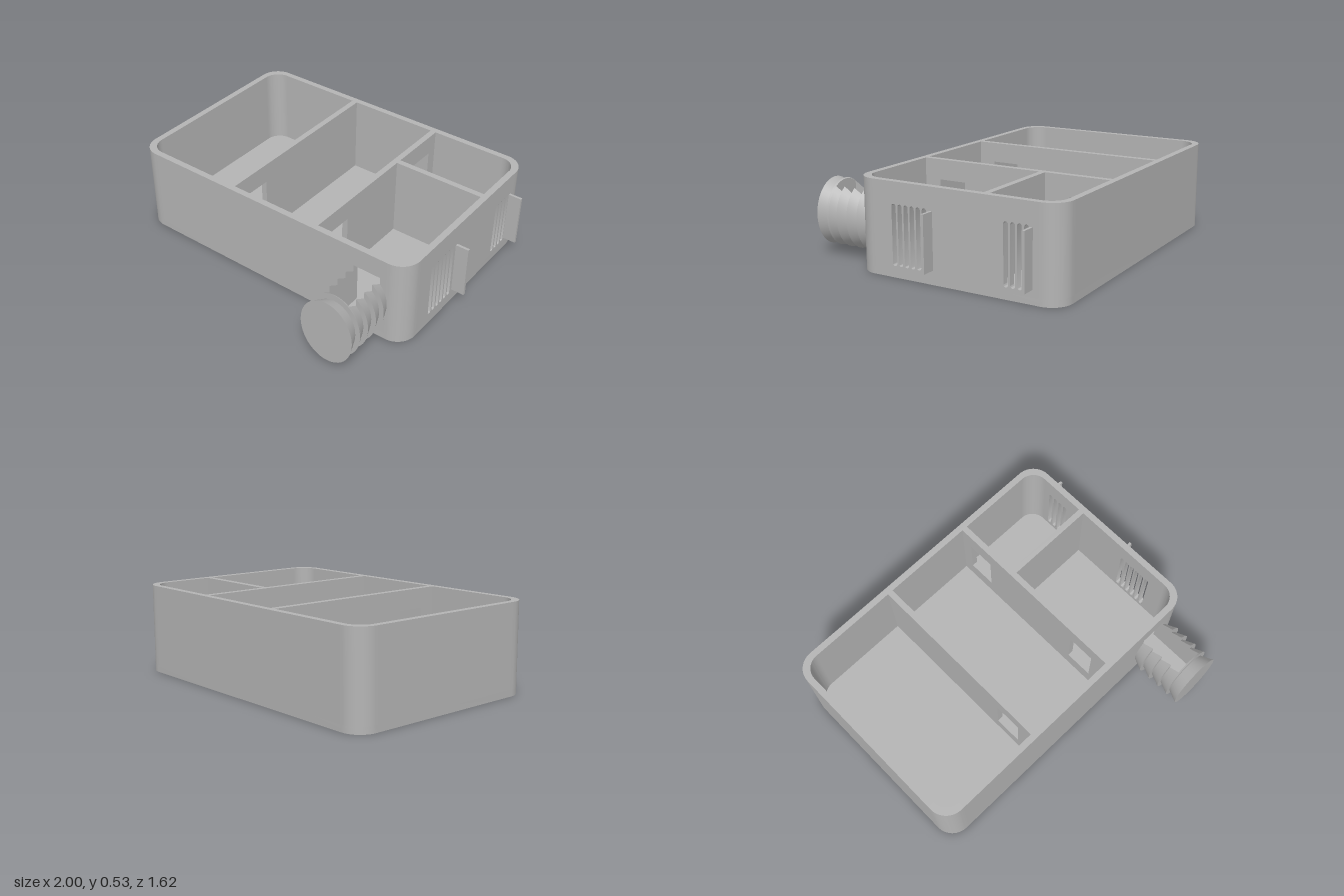
import * as THREE from 'three';
import { toCreasedNormals } from 'three/addons/utils/BufferGeometryUtils.js';

const X0 = -1, X1 = 0.92, Z0 = -0.81, Z1 = 0.455; // outer box
const FLOOR = 0.04, TOP = 0.53, WALL = 0.038;
const R = 0.12, C = 0.135; // outer corner radius, size of a corner piece
const T = 0.036; // divider thickness

const grey = new THREE.MeshStandardMaterial({ color: 0xb4b4b4 });
grey.name = 'grey plastic';

function extrude(shape, depth) {
  const geo = new THREE.ExtrudeGeometry(shape, { depth, bevelEnabled: false, curveSegments: 10 });
  return toCreasedNormals(geo, 0.6);
}

function rect(Type, x0, x1, y0, y1) {
  const s = new Type();
  s.moveTo(x0, y0);
  s.lineTo(x1, y0);
  s.lineTo(x1, y1);
  s.lineTo(x0, y1);
  s.closePath();
  return s;
}

// Upright slot with round ends
function slot(u, y0, y1, r) {
  const p = new THREE.Path();
  p.absarc(u, y1 - r, r, 0, Math.PI, false);
  p.absarc(u, y0 + r, r, Math.PI, Math.PI * 2, false);
  p.closePath();
  return p;
}

export function createModel() {
  const model = new THREE.Group();
  const add = (name, geo) => {
    const mesh = new THREE.Mesh(geo, grey);
    mesh.name = name;
    model.add(mesh);
    return mesh;
  };

  // Upright panel across x, starting at depth z
  function panelX(name, x0, x1, z, depth, holes = []) {
    const s = rect(THREE.Shape, x0, x1, FLOOR, TOP);
    s.holes.push(...holes);
    add(name, extrude(s, depth)).position.z = z;
  }
  // Upright panel along z, starting at x; holes are drawn at u = -z
  function panelZ(name, z0, z1, x, depth, holes = []) {
    const s = rect(THREE.Shape, -z1, -z0, FLOOR, TOP);
    s.holes.push(...holes);
    const mesh = add(name, extrude(s, depth));
    mesh.rotation.y = Math.PI / 2;
    mesh.position.x = x;
  }
  const hole = (u0, u1) => rect(THREE.Path, u0, u1, 0.15, 0.41);

  // Floor with rounded corners
  const f = new THREE.Shape();
  f.absarc(X1 - R, -Z0 - R, R, 0, Math.PI / 2);
  f.absarc(X0 + R, -Z0 - R, R, Math.PI / 2, Math.PI);
  f.absarc(X0 + R, -Z1 + R, R, Math.PI, Math.PI * 1.5);
  f.absarc(X1 - R, -Z1 + R, R, Math.PI * 1.5, Math.PI * 2);
  f.closePath();
  add('floor', extrude(f, FLOOR).rotateX(-Math.PI / 2));

  // Rounded wall corners
  const c = new THREE.Shape();
  c.moveTo(C, 0);
  c.lineTo(C, WALL);
  c.absarc(C, C, C - WALL, Math.PI * 1.5, Math.PI, true);
  c.lineTo(0, C);
  c.lineTo(0, R);
  c.absarc(R, R, R, Math.PI, Math.PI * 1.5, false);
  c.closePath();
  const cornerGeo = extrude(c, TOP - FLOOR).rotateX(-Math.PI / 2);
  [[X0, Z1], [X1, Z1], [X1, Z0], [X0, Z0]].forEach(([x, z], i) => {
    const m = add('wallCorner', cornerGeo);
    m.rotation.y = i * Math.PI / 2;
    m.position.set(x, FLOOR, z);
  });

  // Straight walls; vents in the left one, spout opening in the front one
  const vents = [];
  for (let i = 0; i < 6; i++) vents.push(slot(-0.197 + i * 0.0394, 0.065, 0.408, 0.014));
  for (let i = 0; i < 4; i++) vents.push(slot(0.494 + i * 0.04, 0.065, 0.408, 0.014));
  panelZ('ventedWall', Z0 + C, Z1 - C, X1 - WALL, WALL, vents);
  panelZ('plainSideWall', Z0 + C, Z1 - C, X0, WALL);
  panelX('backWall', X0 + C, X1 - C, Z0, WALL);
  panelX('frontWall', X0 + C, X1 - C, Z1 - WALL, WALL, [hole(0.585, 0.755)]);

  // Inner dividers with pass-through windows
  const zi0 = Z0 + WALL, zi1 = Z1 - WALL;
  panelZ('outerDivider', zi0, zi1, -0.317, T, [hole(-0.315, -0.145)]);
  panelZ('innerDivider', zi0, zi1, 0.282, T, [hole(-0.315, -0.145), hole(0.535, 0.705)]);
  panelX('crossDivider', 0.282 + T, X1 - WALL, -0.381, T);

  // Vent fins
  for (const z of [-0.043, -0.64]) {
    add('ventFin', new THREE.BoxGeometry(0.08, 0.32, 0.016)).position.set(0.96, 0.24, z);
  }

  // Spout: oval barbs, cut open on top by a square channel
  const RX = 0.165, RY = 0.198, CX = 0.67, CY = 0.243, HALF = 0.085, BED = 0.15, N = 48;
  function section(k, cut) {
    const start = cut ? Math.acos(HALF / (RX * k)) : Math.PI / 2;
    const sweep = cut ? Math.PI + 2 * start : Math.PI * 2;
    const pts = [];
    for (let i = 0; i < (cut ? N + 1 : N); i++) {
      const a = Math.PI - start + sweep * i / N;
      pts.push(new THREE.Vector2(CX + RX * k * Math.cos(a), CY + RY * k * Math.sin(a)));
    }
    if (cut) pts.push(new THREE.Vector2(CX + HALF, BED), new THREE.Vector2(CX - HALF, BED));
    return pts;
  }
  function loft(z0, k0, z1, k1, cut) {
    const a = section(k0, cut), b = section(k1, cut), pos = [];
    const put = (p, z) => pos.push(p.x, p.y, z);
    a.forEach((p, i) => {
      const j = (i + 1) % a.length;
      put(p, z0); put(a[j], z0); put(b[j], z1);
      put(p, z0); put(b[j], z1); put(b[i], z1);
    });
    for (const [i, j, k] of THREE.ShapeUtils.triangulateShape(b, [])) {
      put(b[i], z1); put(b[j], z1); put(b[k], z1);
      put(a[i], z0); put(a[k], z0); put(a[j], z0);
    }
    const geo = new THREE.BufferGeometry();
    geo.setAttribute('position', new THREE.Float32BufferAttribute(pos, 3));
    return toCreasedNormals(geo, 0.5);
  }
  const STEP = 0.071, K = 0.82, END = 0.73;
  for (let i = 0; i < 5; i++) {
    const z = Z1 + i * STEP;
    if (i < 3) add('spoutBarb', loft(z, K, z + STEP, 1, true));
    if (i === 3) {
      const k = K + (1 - K) * (END - z) / STEP;
      add('spoutBarb', loft(z, K, END, k, true));
      add('spoutChannelEnd', loft(END, k, z + STEP, 1, false));
    }
    if (i === 4) add('spoutCap', loft(z, K, z + STEP, 1, false));
  }
  return model;
}
